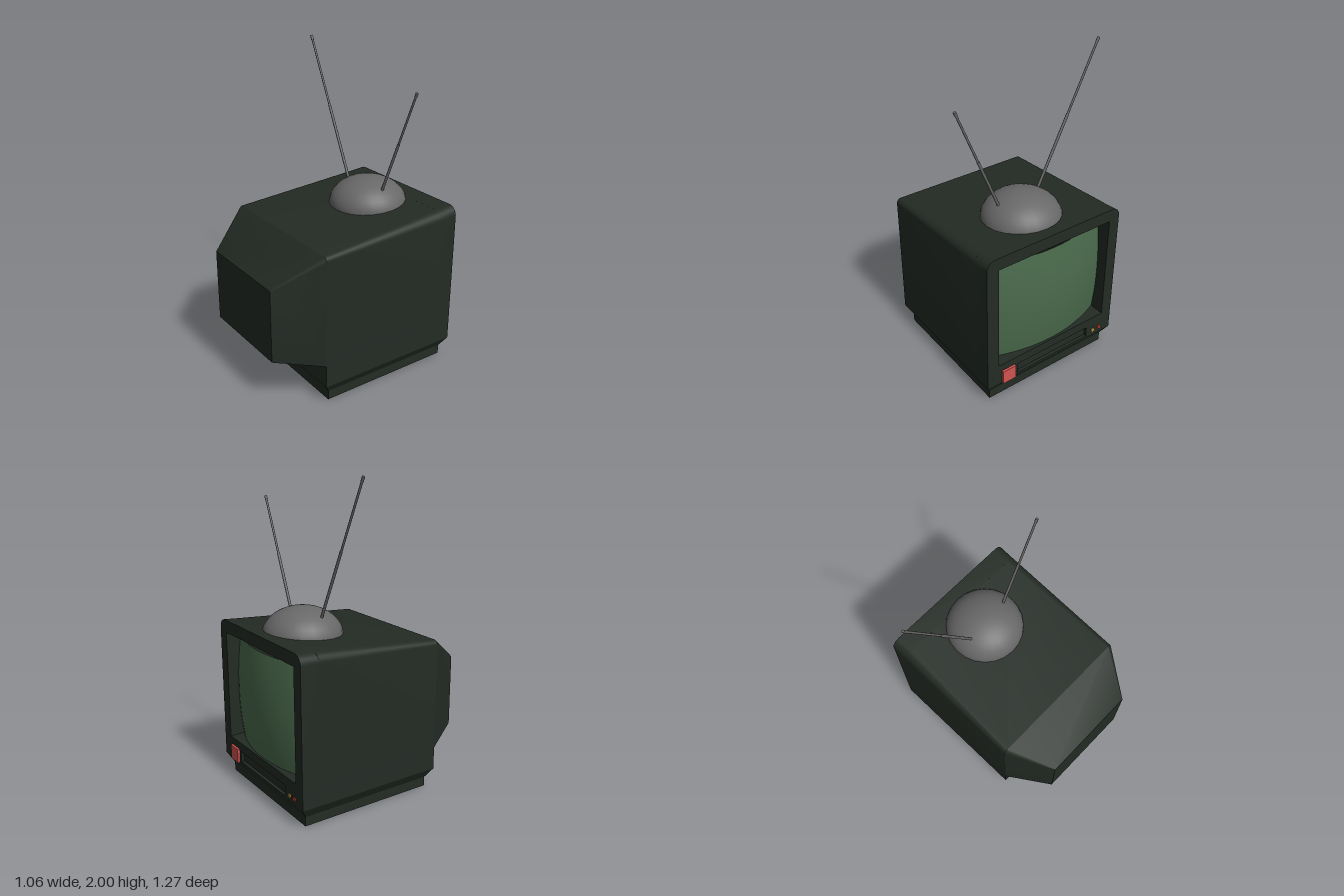
import * as THREE from 'three';
import { toCreasedNormals } from 'three/addons/utils/BufferGeometryUtils.js';

const CX = 0.04; // middle of the cabinet
const mat = (color) => new THREE.MeshStandardMaterial({ color, side: THREE.DoubleSide });

// Skin between rings of points; rings run counter-clockwise seen from the end side.
function loft(rings, capStart, capEnd) {
  const n = rings[0].length, pos = rings.flat(2), idx = [];
  for (let r = 0; r < rings.length - 1; r++) {
    for (let i = 0; i < n; i++) {
      const a = r * n + i, b = r * n + (i + 1) % n;
      idx.push(a, b, b + n, a, b + n, a + n);
    }
  }
  const last = (rings.length - 1) * n;
  for (let i = 1; i < n - 1; i++) {
    if (capStart) idx.push(0, i + 1, i);
    if (capEnd) idx.push(last, last + i, last + i + 1);
  }
  const g = new THREE.BufferGeometry();
  g.setAttribute('position', new THREE.Float32BufferAttribute(pos, 3));
  g.setIndex(idx);
  return toCreasedNormals(g, 0.5);
}

// Outline with square lower and rounded upper corners.
function outline(x0, x1, y0, y1, r) {
  const p = [[x0, y0], [x1, y0]];
  for (const [cx, start] of [[x1 - r, 0], [x0 + r, Math.PI / 2]]) {
    for (let i = 0; i <= 6; i++) {
      const a = start + i / 6 * Math.PI / 2;
      p.push([cx + r * Math.cos(a), y1 - r + r * Math.sin(a)]);
    }
  }
  return p;
}
const atZ = (pts, z) => pts.map(([x, y]) => [x, y, z]);
const rectAtY = (x0, x1, z0, z1, y) => [[x0, y, z1], [x1, y, z1], [x1, y, z0], [x0, y, z0]];

function rectHole(x0, x1, y0, y1) {
  return new THREE.Path([[x0, y0], [x0, y1], [x1, y1], [x1, y0]].map((p) => new THREE.Vector2(...p)));
}

export function createModel() {
  const model = new THREE.Group();
  const dark = mat(0x232b24), grey = mat(0x686868), red = mat(0xd05452);
  const add = (name, geometry, material, parent = model) => {
    const m = new THREE.Mesh(geometry, material);
    m.name = name;
    parent.add(m);
    return m;
  };

  // Cabinet with a roof that falls away from the screen
  add('cabinet', loft([
    atZ(outline(-0.45, 0.53, 0.125, 1.05, 0.058), -0.5),
    atZ(outline(-0.45, 0.53, 0.125, 0.98, 0.03), 0.36),
  ], false, true), dark);

  // Tapered housing of the picture tube
  add('tubeHousing', loft([
    atZ(outline(-0.45, 0.53, 0.27, 0.98, 0.03), 0.36),
    atZ(outline(-0.28, 0.365, 0.315, 0.785, 0.004), 0.635),
  ], false, true), dark);

  // Plinth, flaring out to the cabinet
  add('plinth', loft([
    rectAtY(-0.41, 0.49, -0.58, 0.32, 0),
    rectAtY(-0.41, 0.49, -0.58, 0.32, 0.06),
    rectAtY(-0.45, 0.53, -0.62, 0.36, 0.125),
  ], true, false), dark);

  // Screen surround, with openings for the screen and the control panel
  const face = new THREE.Shape(outline(-0.45, 0.53, 0.125, 1.06, 0.06).map((p) => new THREE.Vector2(...p)));
  face.holes.push(rectHole(-0.375, 0.45, 0.27, 0.98), rectHole(-0.25, 0.31, 0.14, 0.21));
  const surround = new THREE.ExtrudeGeometry(face, { depth: 0.12, bevelEnabled: false });
  surround.translate(0, 0, -0.62);
  const sp = surround.attributes.position;
  for (let i = 0; i < sp.count; i++) { // follow the slope of the roof
    if (sp.getY(i) > 0.99) sp.setY(i, sp.getY(i) - (sp.getZ(i) + 0.62) * 0.082);
  }
  add('screenSurround', toCreasedNormals(surround, 0.5), dark);
  add('controlPanel', new THREE.BoxGeometry(0.56, 0.07, 0.02), dark).position.set(0.03, 0.175, -0.59);

  // Bulging glass
  const glass = new THREE.PlaneGeometry(0.825, 0.71, 16, 16).rotateY(Math.PI);
  const gp = glass.attributes.position;
  for (let i = 0; i < gp.count; i++) {
    gp.setZ(i, 0.5 * gp.getX(i) ** 2 + 0.23 * gp.getY(i) ** 2);
  }
  glass.computeVertexNormals();
  add('screen', glass, mat(0x4a6a4c)).position.set(CX, 0.6, -0.632);

  // Power button and two small lamps
  add('powerButton', new THREE.BoxGeometry(0.095, 0.095, 0.03), red).position.set(0.378, 0.173, -0.62);
  [[-0.305, mat(0xc9a23c)], [-0.36, mat(0xc0392b)]].forEach(([x, m]) => {
    add('lamp', new THREE.CylinderGeometry(0.014, 0.014, 0.02, 12).rotateX(Math.PI / 2), m)
      .position.set(x, 0.165, -0.616);
  });

  // Aerial: dome and two telescopic rods
  const aerial = new THREE.Group();
  aerial.name = 'aerial';
  model.add(aerial);
  const dome = add('aerialDome', new THREE.SphereGeometry(0.25, 24, 10, 0, Math.PI * 2, 0, Math.PI / 2), grey, aerial);
  dome.scale.y = 0.7;
  dome.position.set(0.05, 1.015, -0.3);
  const rods = [
    [[-0.09, 1.11, -0.26], [-0.525, 2, -0.26]],
    [[0.195, 1.11, -0.287], [0.492, 1.815, -0.287]],
  ];
  for (const ends of rods) {
    const [a, b] = ends.map((p) => new THREE.Vector3(...p));
    const dir = b.clone().sub(a).normalize(), len = a.distanceTo(b);
    for (const [from, to, radius] of [[0, 0.52, 0.009], [0.52, 0.97, 0.007], [0.97, 1, 0.009]]) {
      const rod = add('aerialRod', new THREE.CylinderGeometry(radius, radius, (to - from) * len, 10), grey, aerial);
      rod.position.copy(a).lerp(b, (from + to) / 2);
      rod.quaternion.setFromUnitVectors(new THREE.Vector3(0, 1, 0), dir);
    }
  }
  return model;
}
